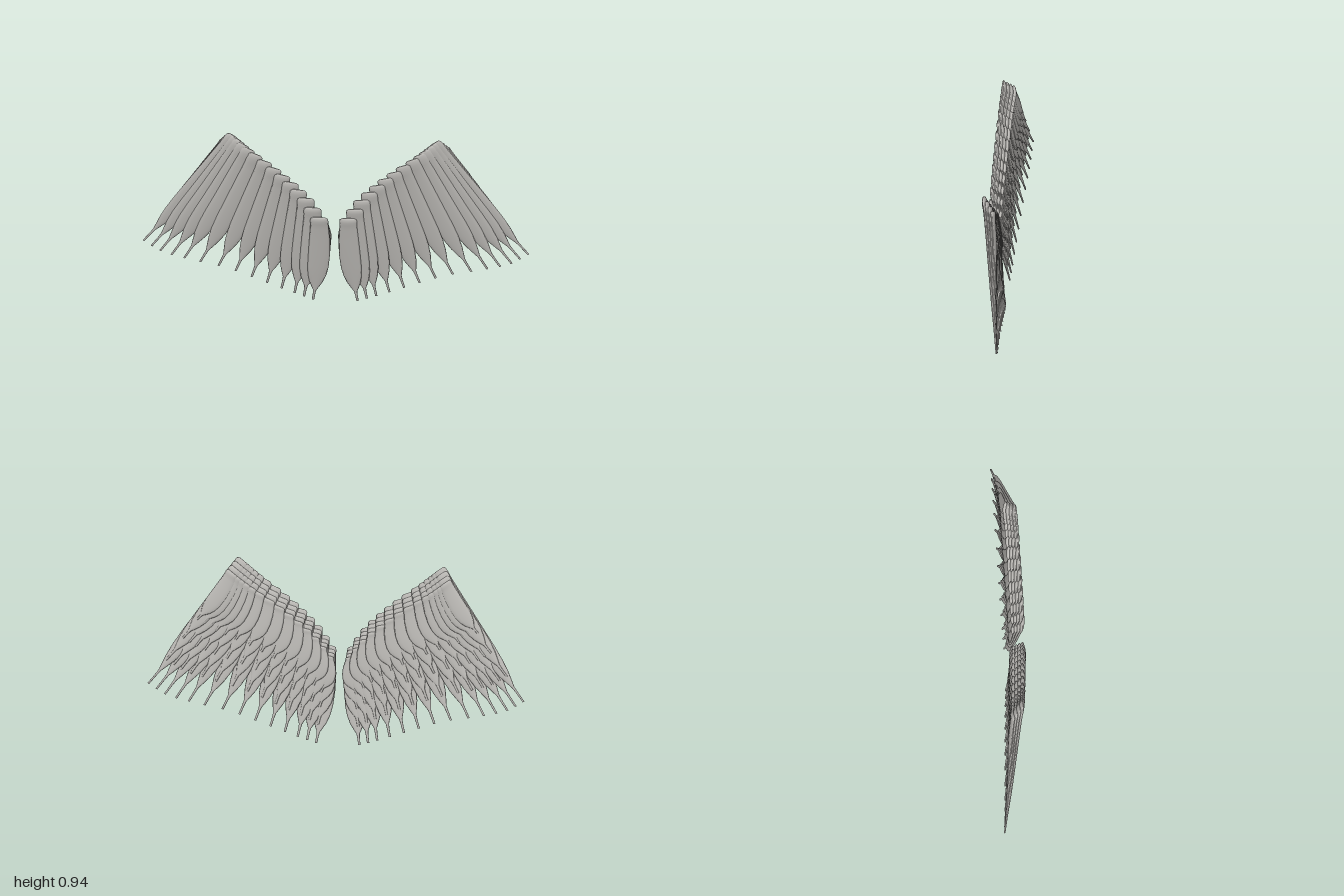
import * as THREE from 'three';

const V = (x, y, z) => new THREE.Vector3(x, y, z);
const FEATHERS = 14;
const SIDES = 12;

// Feather outline: [distance along, half width, half thickness] (fractions of full size)
const PROFILE = [
  [0, 0, 0], [0, 0.6, 0.5], [0.012, 0.8, 1.2], [0.045, 0.84, 1.5], [0.08, 0.82, 1.2],
  [0.14, 0.86, 1], [0.28, 0.95, 1], [0.45, 1, 1], [0.6, 0.97, 0.95], [0.7, 0.85, 0.85],
  [0.78, 0.64, 0.75], [0.84, 0.38, 0.7], [0.885, 0.16, 0.7], [0.93, 0.12, 0.6],
  [1, 0.11, 0.5], [1, 0, 0],
];

// Root and tip lines of the long feathers, from the body outward
const ROOTS = new THREE.CatmullRomCurve3([
  V(0.075, 0.5, 0.058), V(0.15, 0.612, 0.055), V(0.235, 0.7, 0.051), V(0.33, 0.78, 0.047),
  V(0.43, 0.855, 0.042), V(0.485, 0.9, 0.038), V(0.52, 0.93, 0.034),
]);
const TIPS = new THREE.CatmullRomCurve3([
  V(0.115, 0.003, -0.037), V(0.22, 0.035, -0.043), V(0.38, 0.09, -0.05), V(0.56, 0.15, -0.057),
  V(0.76, 0.19, -0.064), V(0.9, 0.225, -0.069), V(0.995, 0.28, -0.074),
]);

// Rows from front to back: length, shift along the feather, shift in depth
const ROWS = [
  { name: 'flightFeather', length: 1, drop: 0, depth: 0 },
  { name: 'longCovert', length: 0.8, drop: 0.03, depth: -0.013 },
  { name: 'middleCovert', length: 0.6, drop: 0.06, depth: -0.026 },
  { name: 'shortCovert', length: 0.42, drop: 0.09, depth: -0.039 },
];

// Flattened, gently curved tube from root to tip
function featherGeometry(root, tip, width, thick, bend, roll) {
  const dir = tip.clone().sub(root);
  const d = dir.clone().normalize();
  const n = V(0, 0, 1).addScaledVector(d, -d.z).normalize().applyAxisAngle(d, roll);
  const s = d.clone().cross(n);
  const pos = [], index = [];
  PROFILE.forEach(([t, w, h], i) => {
    const centre = root.clone().addScaledVector(dir, t)
      .addScaledVector(s, bend * Math.sin(Math.PI * t));
    for (let j = 0; j < SIDES; j++) {
      const a = (j / SIDES) * Math.PI * 2;
      const p = centre.clone()
        .addScaledVector(s, Math.cos(a) * w * width)
        .addScaledVector(n, Math.sin(a) * h * thick);
      pos.push(p.x, p.y, p.z);
      if (i < PROFILE.length - 1) {
        const k = (j + 1) % SIDES;
        const A = i * SIDES + j, B = i * SIDES + k, C = A + SIDES, D = B + SIDES;
        if (i > 0) index.push(A, C, B);
        if (i < PROFILE.length - 2) index.push(B, C, D);
        else continue;
        if (i === 0) continue;
      }
    }
  });
  const g = new THREE.BufferGeometry();
  g.setAttribute('position', new THREE.Float32BufferAttribute(pos, 3));
  g.setIndex(index);
  g.computeVertexNormals();
  return g;
}

function wing(side, material) {
  const group = new THREE.Group();
  group.name = side > 0 ? 'leftWing' : 'rightWing';
  for (const row of ROWS) {
    for (let i = 0; i < FEATHERS; i++) {
      const u = i / (FEATHERS - 1);
      const base = ROOTS.getPoint(u), end = TIPS.getPoint(u);
      const root = base.clone().lerp(end, row.drop);
      const tip = base.clone().lerp(end, row.drop + row.length * (1 - row.drop));
      for (const p of [root, tip]) {
        p.z += row.depth * (p === tip ? 0.7 : 1);
        p.x *= side;
      }
      const width = THREE.MathUtils.lerp(0.056, 0.044, u);
      const geometry = featherGeometry(root, tip, width, 0.008, side * 0.014, side * 0.12);
      const mesh = new THREE.Mesh(geometry, material);
      mesh.name = row.name;
      group.add(mesh);
    }
  }
  return group;
}

export function createModel() {
  const model = new THREE.Group();
  model.name = 'wings';
  const grey = new THREE.MeshStandardMaterial({ color: 0xbcbab6 });
  grey.name = 'feather grey';
  model.add(wing(1, grey), wing(-1, grey));
  return model;
}
